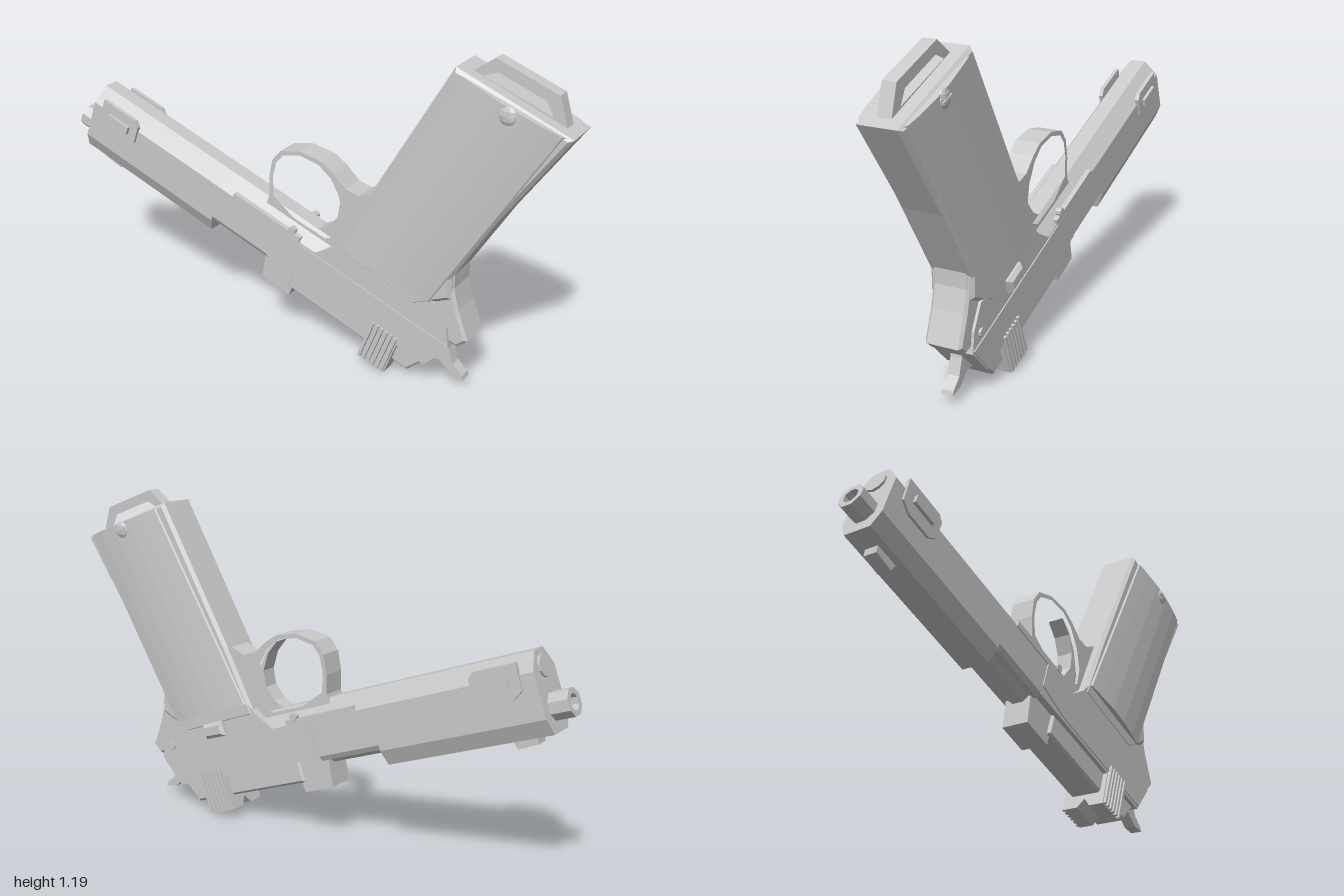
import * as THREE from 'three';

const steel = new THREE.MeshStandardMaterial({ color: 0xc9c9c9 });
steel.name = 'light grey steel';

export function createModel() {
  const root = new THREE.Group();
  root.name = 'pistol';
  // Slide assembly: x runs along the bore, y across it
  const slide = new THREE.Group();
  slide.name = 'slideAssembly';
  slide.rotation.z = -Math.PI / 9;
  root.add(slide);

  const add = (parent, name, geo) => {
    const g = geo.index ? geo.toNonIndexed() : geo;
    g.computeVertexNormals();
    const m = new THREE.Mesh(g, steel);
    m.name = name;
    parent.add(m);
  };
  const shapeOf = (pts) => new THREE.Shape(pts.map(([x, y]) => new THREE.Vector2(x, y)));
  // Side outline between two z values, with optional chamfer
  const plate = (pts, z0, z1, bevel = 0, hole = null) => {
    const s = shapeOf(pts);
    if (hole) s.holes.push(shapeOf(hole));
    return new THREE.ExtrudeGeometry(s, {
      depth: z1 - z0 - 2 * bevel, bevelEnabled: bevel > 0, bevelSize: bevel,
      bevelThickness: bevel, bevelOffset: -bevel, bevelSegments: 1,
    }).translate(0, 0, z0 + bevel);
  };
  // Mirrored half cross-section (z, y) swept along x
  const mirrored = (half) => [...half, ...half.filter((p) => p[0] > 0).reverse().map(([z, y]) => [-z, y])];
  const sweep = (pts, x0, x1, hole = null) => plate(pts, 0, x1 - x0, 0, hole).rotateY(Math.PI / 2).translate(x0, 0, 0);
  const box = (x0, x1, y0, y1, z0, z1) =>
    new THREE.BoxGeometry(x1 - x0, y1 - y0, z1 - z0).translate((x0 + x1) / 2, (y0 + y1) / 2, (z0 + z1) / 2);
  const ring = (r, y, n) => Array.from({ length: n }, (_, i) => {
    const a = ((i + 0.5) / n) * Math.PI * 2;
    return [Math.cos(a) * r, y + Math.sin(a) * r];
  });

  // Slide and frame
  add(slide, 'frontSlide', sweep(mirrored([[0.03, 0.46], [0.068, 0.41], [0.076, 0.4], [0.076, 0.25], [0.05, 0.195]]), -1.08, -0.456));
  add(slide, 'middleFrame', sweep(mirrored([[0.03, 0.46], [0.068, 0.41], [0.076, 0.4], [0.076, 0.27], [0.065, 0.252]]), -0.456, -0.2));
  add(slide, 'portBarrel', sweep(mirrored([[0.045, 0.3], [0.045, 0.255], [0.02, 0.235]]), -0.456, -0.05));
  add(slide, 'rearFrame', plate(
    [[-0.2, 0.4], [-0.03, 0.4], [0.02, 0.455], [0.055, 0.51], [0.43, 0.51], [0.5, 0.45], [0.536, 0.382], [0.485, 0.265], [-0.2, 0.265]],
    -0.076, 0.076));
  add(slide, 'frameRidge', sweep(mirrored([[0.03, 0.46], [0.075, 0.4]]), -0.2, 0.1));
  add(slide, 'rearBolt', plate([[-0.09, 0.27], [-0.09, 0.187], [0.2, 0.187], [0.436, 0.187], [0.485, 0.28]], -0.06, 0.06, 0.008));
  add(slide, 'chamberBlock', plate([[-0.22, 0.27], [-0.2, 0.152], [-0.075, 0.15], [-0.07, 0.27]], -0.05, 0.05));

  // Muzzle
  add(slide, 'barrel', sweep(ring(0.047, 0.276, 8), -1.148, -1.07, ring(0.028, 0.276, 8)));
  add(slide, 'bore', sweep(ring(0.03, 0.276, 8), -1.09, -1.07));
  add(slide, 'springPlug', sweep(ring(0.038, 0.405, 10), -1.088, -1.07));
  add(slide, 'frontSight', plate([[-1.01, 0.2], [-1.005, 0.17], [-0.93, 0.165], [-0.92, 0.2]], -0.025, 0.025));

  // Ribbed rear sight block with a notch
  add(slide, 'rearSight', sweep(mirrored([[0.076, 0.3], [0.08, 0.137], [0.025, 0.137], [0, 0.17]]), 0.258, 0.372));
  for (const side of [1, -1]) {
    for (let i = 0; i < 6; i++) {
      const x = 0.262 + i * 0.019;
      add(slide, 'gripRib', box(x, x + 0.01, 0.14, 0.298, side * 0.083 - 0.006, side * 0.083 + 0.006));
    }
    // Side plate, its bar, the frame rail and pin
    const zs = (a, b) => (side > 0 ? [a, b] : [-b, -a]);
    add(slide, 'sidePlate', plate([[-1.035, 0.44], [-0.88, 0.44], [-0.86, 0.42], [-0.86, 0.35], [-0.89, 0.325], [-0.99, 0.325], [-1.03, 0.35]], ...zs(0.07, 0.085)));
    add(slide, 'sideBar', box(-0.995, -0.895, 0.372, 0.402, ...zs(0.08, 0.097)));
    add(slide, 'sideStrip', box(-0.4, -0.1, 0.395, 0.418, ...zs(0.05, 0.08)));
    add(slide, 'frameRail', plate([[-0.2, 0.395], [0.53, 0.39], [0.485, 0.275], [-0.05, 0.275], [-0.2, 0.3]], ...zs(0.07, 0.08)));
    add(slide, 'pin', new THREE.CylinderGeometry(0.015, 0.015, 0.02, 8).rotateX(Math.PI / 2).translate(-0.14, 0.425, side * 0.073));
    // Slotted grip screw
    add(root, 'gripScrew', new THREE.SphereGeometry(0.033, 10, 6).scale(1, 1, 0.45).translate(0.79, 1.043, side * 0.09));
    add(root, 'screwSlot', new THREE.BoxGeometry(0.05, 0.008, 0.006).rotateZ(-0.35).translate(0.79, 1.043, side * 0.103));
  }
  // Safety catch and rear pin on the right side
  add(root, 'safetyCatch', plate([[0.315, 0.325], [0.405, 0.295], [0.425, 0.345], [0.335, 0.38]], -0.098, -0.06, 0.012));
  add(slide, 'rearPin', new THREE.CylinderGeometry(0.015, 0.015, 0.02, 8).rotateX(Math.PI / 2).translate(0.47, 0.42, -0.074));

  // Grip core and tail
  add(root, 'gripFrame', plate([[0.19, 0.42], [0.32, 0.665], [0.6, 1.155], [0.99, 1.0], [0.63, 0.47], [0.63, 0.36], [0.5, 0.3]], -0.078, 0.078, 0.012));
  add(root, 'tail', plate([[0.55, 0.47], [0.635, 0.475], [0.635, 0.395], [0.655, 0.32], [0.695, 0.215], [0.66, 0.185], [0.6, 0.2], [0.52, 0.28]], -0.066, 0.066, 0.01));

  // Faceted grip panels, both sides in one sheared sweep
  const section = [[0.07, 0], [0.084, 0.03], [0.09, 0.2], [0.096, 0.4], [0.096, 0.62], [0.09, 0.82], [0.082, 0.97], [0.07, 1]];
  const panels = plate([...section, ...section.map(([z, u]) => [-z, u]).reverse()], 0, 1);
  panels.applyMatrix4(new THREE.Matrix4().makeBasis(
    new THREE.Vector3(0, 0, 1), new THREE.Vector3(0.343, -0.13, 0), new THREE.Vector3(0.405, 0.674, 0),
  ).setPosition(0.22, 0.46, 0));
  add(root, 'gripPanels', panels);

  // Lanyard loop
  add(root, 'lanyardLoop', plate(
    [[0.63, 1.13], [0.71, 1.19], [0.92, 1.112], [0.955, 1.0]], -0.024, 0.024, 0,
    [[0.675, 1.127], [0.72, 1.147], [0.88, 1.087], [0.905, 1.04]]));

  // Trigger guard and trigger
  add(root, 'triggerGuard', plate(
    [[-0.12, 0.5], [-0.103, 0.54], [-0.103, 0.61], [-0.09, 0.68], [-0.055, 0.722], [0.025, 0.738], [0.11, 0.722],
      [0.16, 0.69], [0.21, 0.643], [0.26, 0.63], [0.32, 0.655], [0.3, 0.45], [0.15, 0.39]], -0.045, 0.045, 0,
    [[-0.085, 0.545], [-0.087, 0.62], [-0.073, 0.675], [-0.045, 0.707], [0.025, 0.723], [0.1, 0.707],
      [0.15, 0.668], [0.19, 0.6], [0.206, 0.52], [0.19, 0.46], [0.13, 0.435], [0, 0.48]]));
  add(root, 'trigger', plate(
    [[0.12, 0.695], [0.16, 0.66], [0.195, 0.59], [0.207, 0.5], [0.19, 0.43], [0.06, 0.44], [0.13, 0.475], [0.17, 0.52], [0.18, 0.58], [0.16, 0.645]],
    -0.03, 0.03));

  // Hammer
  add(root, 'hammer', plate(
    [[0.5, 0.16], [0.52, 0.085], [0.58, 0.085], [0.625, 0.045], [0.672, 0.035], [0.668, 0.05], [0.63, 0.085], [0.612, 0.14], [0.6, 0.22]],
    -0.021, 0.021));
  return root;
}
